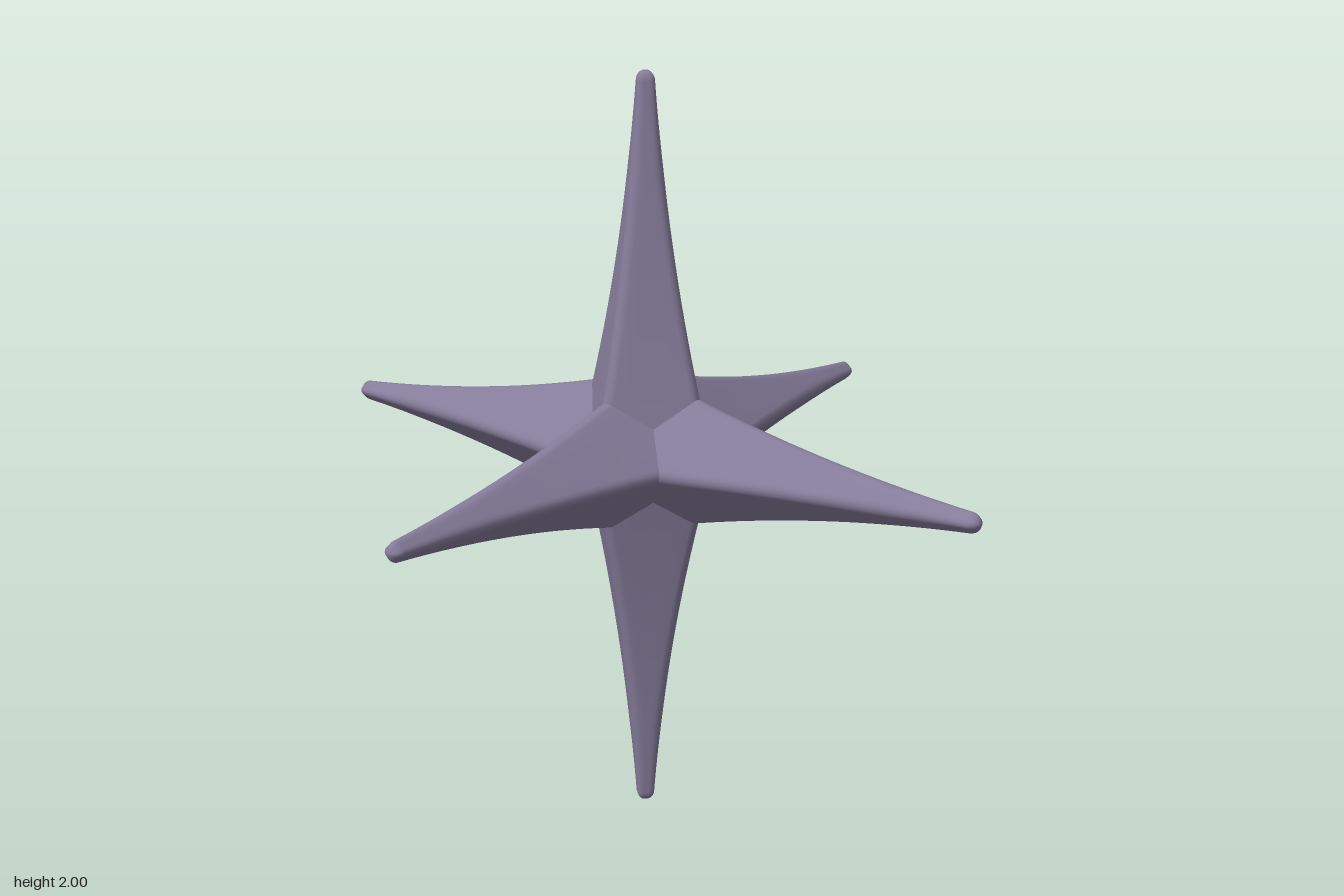
import * as THREE from 'three';

// Half-width of a spike at distance t from the centre
const halfWidth = (t) => 0.215 - 0.305 * t + 0.115 * t * t;

// Diamond cross-section with rounded corners, as [u, v] points
function section(r) {
  const c = Math.min(0.025, 0.5 * r);
  const arcs = [0, 1, 2, 3].map((k) => {
    const a = (k * Math.PI) / 2;
    return [-2, -1, 0, 1, 2].map((i) => {
      const b = a + (i * Math.PI) / 8;
      return [(r - c) * Math.cos(a) + c * Math.cos(b), (r - c) * Math.sin(a) + c * Math.sin(b)];
    });
  });
  const points = [];
  arcs.forEach((arc, k) => {
    points.push(...arc);
    const from = arc[4], to = arcs[(k + 1) % 4][0];
    for (const f of [0.25, 0.5, 0.75]) {
      points.push([from[0] + (to[0] - from[0]) * f, from[1] + (to[1] - from[1]) * f]);
    }
  });
  return points;
}

// One spike along +y, its base mitred against the four neighbouring spikes
function spikeGeometry() {
  const count = section(0.1).length, rows = 24, end = 0.972;
  const positions = [], index = [];

  const base = [];
  for (let i = 0; i < count; i++) {
    let t = 0.15;
    for (let n = 0; n < 25; n++) {
      const [u, v] = section(halfWidth(t))[i];
      t = Math.max(Math.abs(u), Math.abs(v));
    }
    base.push(t);
  }
  for (let j = 0; j <= rows; j++) {
    for (let i = 0; i < count; i++) {
      const t = base[i] + ((end - base[i]) * j) / rows;
      const [u, v] = section(halfWidth(t))[i];
      positions.push(u, t, v);
    }
  }
  // Rounded tip
  const steps = 6;
  for (let j = 1; j <= steps; j++) {
    const a = (j / steps) * (Math.PI / 2);
    const r = Math.max(halfWidth(end) * Math.cos(a), 1e-5);
    for (const [u, v] of section(r)) positions.push(u, end + (1 - end) * Math.sin(a), v);
  }
  for (let j = 0; j < rows + steps; j++) {
    for (let i = 0; i < count; i++) {
      const n = (i + 1) % count;
      const a = j * count + i, c = j * count + n;
      const b = a + count, d = c + count;
      index.push(a, b, c, c, b, d);
    }
  }
  const geometry = new THREE.BufferGeometry();
  geometry.setAttribute('position', new THREE.Float32BufferAttribute(positions, 3));
  geometry.setIndex(index);
  geometry.computeVertexNormals();
  return geometry;
}

export function createModel() {
  const model = new THREE.Group();
  model.name = 'sixPointedSpike';
  const material = new THREE.MeshStandardMaterial({ color: 0x857c9a });
  material.name = 'mutedPurple';
  const geometry = spikeGeometry();
  const up = new THREE.Vector3(0, 1, 0);
  const directions = {
    topSpike: [0, 1, 0], bottomSpike: [0, -1, 0],
    leftSpike: [1, 0, 0], rightSpike: [-1, 0, 0],
    frontSpike: [0, 0, 1], backSpike: [0, 0, -1],
  };
  for (const [name, direction] of Object.entries(directions)) {
    const spike = new THREE.Mesh(geometry, material);
    spike.name = name;
    spike.position.y = 1;
    spike.quaternion.setFromUnitVectors(up, new THREE.Vector3(...direction));
    model.add(spike);
  }
  return model;
}
